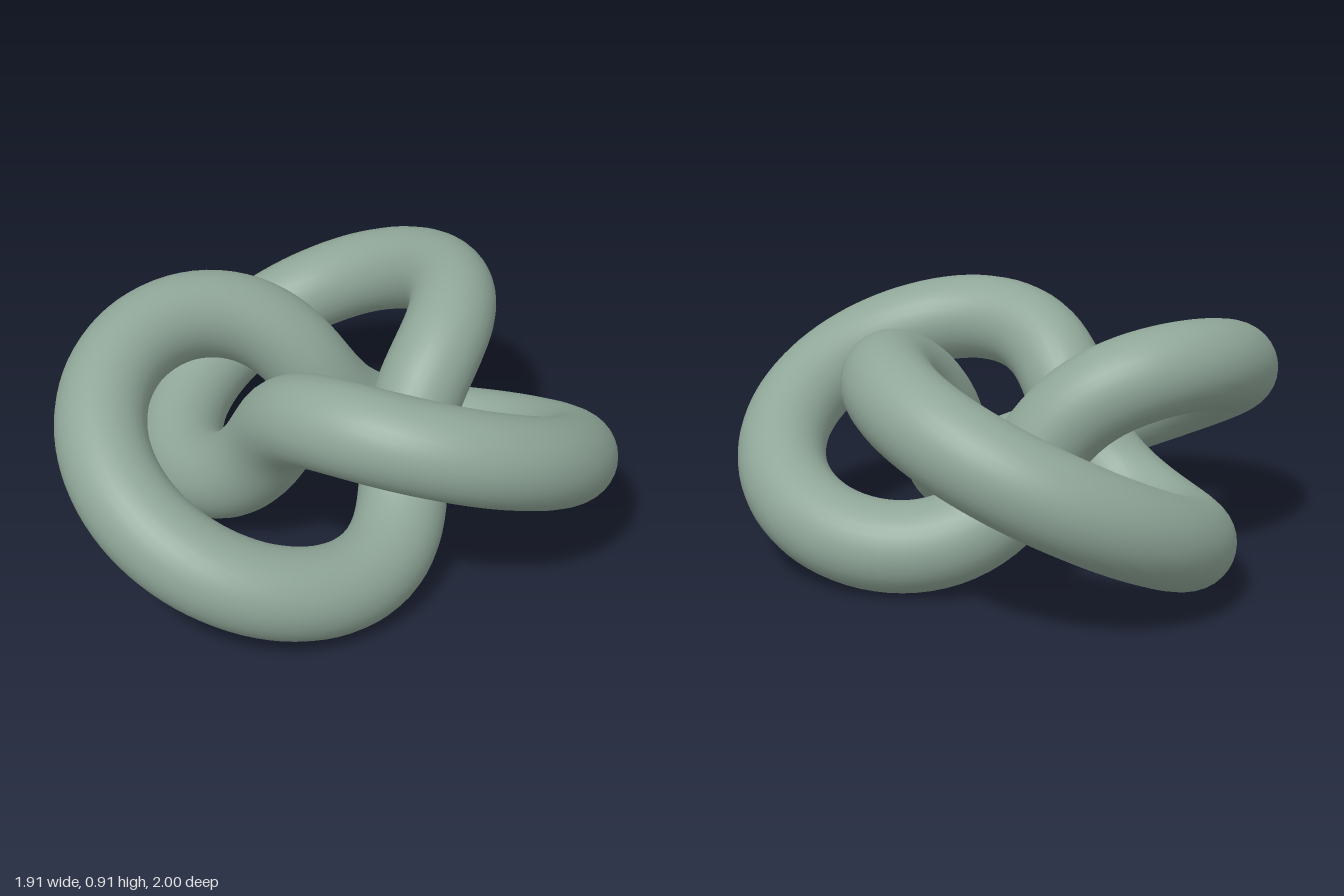
import * as THREE from 'three';

const SCALE = 0.297;        // size of the knot's centre line
const TUBE_RADIUS = 0.161;
const RISE = 0.294;         // how far the centre line weaves up and down
const OFFSET_X = -0.094;    // centres the three lobes on x = 0

// Trefoil centre line: two turns around the middle, three lobes
class TrefoilCurve extends THREE.Curve {
  getPoint(u, target = new THREE.Vector3()) {
    const t = u * Math.PI * 2;
    const radius = SCALE * (2 + Math.cos(3 * t));
    return target.set(
      radius * Math.cos(2 * t) + OFFSET_X,
      RISE + TUBE_RADIUS + RISE * Math.sin(3 * t),
      radius * Math.sin(2 * t)
    );
  }
}

export function createModel() {
  const model = new THREE.Group();
  model.name = 'trefoilKnot';

  const sageGreen = new THREE.MeshStandardMaterial({ color: 0x8fa698 });
  sageGreen.name = 'sageGreen';

  // One closed, smooth tube
  const tube = new THREE.Mesh(
    new THREE.TubeGeometry(new TrefoilCurve(), 240, TUBE_RADIUS, 32, true),
    sageGreen
  );
  tube.name = 'knotTube';
  model.add(tube);

  return model;
}
